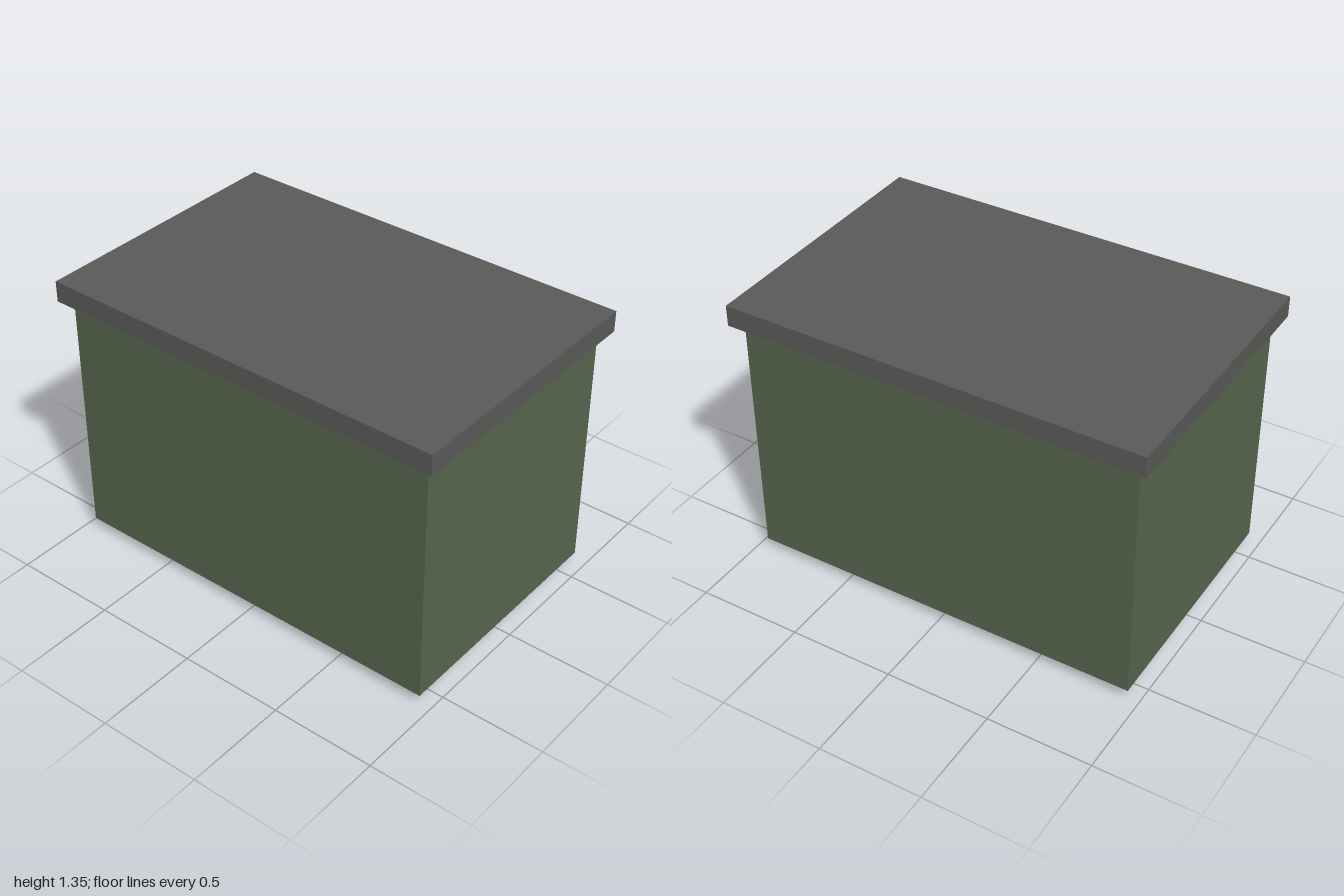
import * as THREE from 'three';

export function createModel() {
  const model = new THREE.Group();
  const material = (name, color) => {
    const m = new THREE.MeshStandardMaterial({ color, flatShading: true });
    m.name = name;
    return m;
  };
  const green = material('olive green', 0x56664d);
  const grey = material('lid grey', 0x5a5b58);
  const dark = material('wheel grey', 0x424341);

  const add = (name, geometry, mat, x, y, z) => {
    const mesh = new THREE.Mesh(geometry, mat);
    mesh.name = name;
    mesh.position.set(x, y, z);
    model.add(mesh);
    return mesh;
  };

  // Bin body and overhanging lid
  const bottom = 0.053, height = 1.2, lidHeight = 0.1;
  add('body', new THREE.BoxGeometry(1.9, height, 1.2), green, 0, bottom + height / 2, 0);
  add('lid', new THREE.BoxGeometry(2, lidHeight, 1.3), grey, 0, bottom + height + lidHeight / 2, 0);

  // Octagonal wheels, mostly sunk into the body near the front
  const radius = 0.1;
  for (const [name, side] of [['leftWheel', 1], ['rightWheel', -1]]) {
    const wheel = add(name, new THREE.CylinderGeometry(radius, radius, 0.08, 8), dark, side * 0.7, radius, 0.4);
    wheel.rotation.z = Math.PI / 2;
  }
  return model;
}
